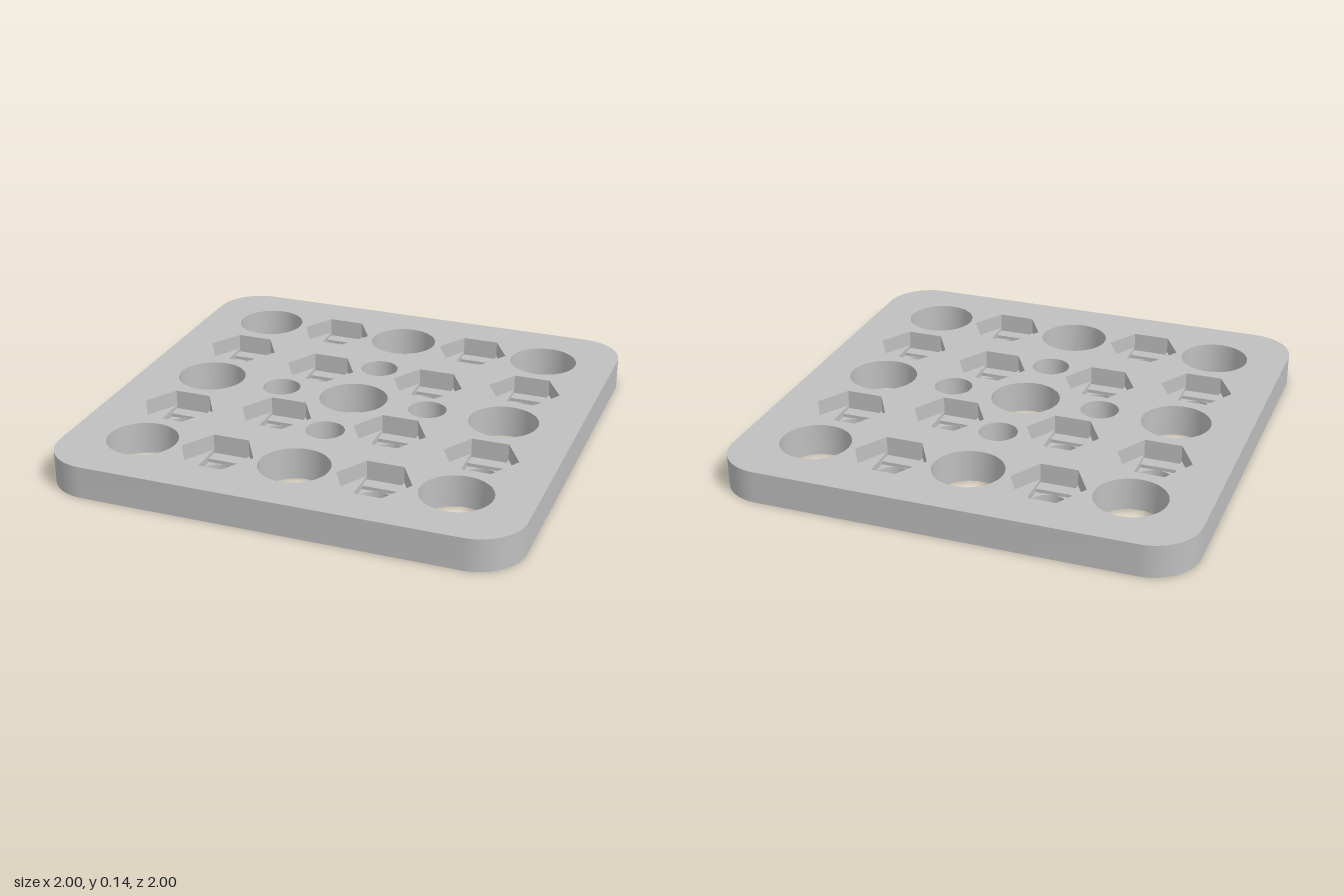
import * as THREE from 'three';
import { mergeGeometries, toCreasedNormals } from 'three/addons/utils/BufferGeometryUtils.js';

const HEIGHT = 0.14, CORNER = 0.2;
const HEX_Y = 0.07, SLOT_Y = 0.055, SQUARE_Y = 0.04; // floors of the stepped nut pocket
const HEX_R = 0.16, SLOT = HEX_R / 2, FLAT = HEX_R * Math.sqrt(3) / 2;
const BOLT_R = 0.0797;

// All outlines are counter-clockwise in plan; plan z is height until the final rotation.
function ring(cx, cy, r, n) {
  return Array.from({ length: n }, (_, i) => {
    const a = (i / n) * Math.PI * 2;
    return new THREE.Vector2(cx + r * Math.cos(a), cy + r * Math.sin(a));
  });
}

function rect(cx, cy, hx, hy) {
  return [[-1, -1], [1, -1], [1, 1], [-1, 1]].map(([x, y]) => new THREE.Vector2(cx + x * hx, cy + y * hy));
}

function plateOutline() {
  const pts = [], c = 1 - CORNER, n = 16;
  [[c, c], [-c, c], [-c, -c], [c, -c]].forEach(([x, y], k) => {
    for (let i = 0; i <= n; i++) {
      const a = (k + i / n) * Math.PI / 2;
      pts.push(new THREE.Vector2(x + CORNER * Math.cos(a), y + CORNER * Math.sin(a)));
    }
  });
  return pts;
}

// Flat face at a height, facing up, or down when flipped
function face(points, height, holes = [], down = false) {
  const shape = new THREE.Shape(points);
  shape.holes = holes.map((h) => new THREE.Path(h));
  const g = new THREE.ShapeGeometry(shape);
  if (down) g.rotateX(Math.PI);
  g.translate(0, 0, height);
  g.deleteAttribute('uv');
  return g.toNonIndexed();
}

// Upright wall along a closed outline; inward walls line a hole
function wall(points, low, high, inward = true) {
  const pts = inward ? [...points].reverse() : points;
  const pos = [];
  pts.forEach((a, i) => {
    const b = pts[(i + 1) % pts.length];
    pos.push(a.x, a.y, low, b.x, b.y, low, b.x, b.y, high);
    pos.push(a.x, a.y, low, b.x, b.y, high, a.x, a.y, high);
  });
  const g = new THREE.BufferGeometry();
  g.setAttribute('position', new THREE.Float32BufferAttribute(pos, 3));
  return toCreasedNormals(g, Math.PI / 6);
}

// Mirror a position into all four quadrants
const quad = (x, y) => [[x, y], [-x, y], [x, -y], [-x, -y]];

export function createModel() {
  const model = new THREE.Group();
  model.name = 'mountingPlate';
  const grey = new THREE.MeshStandardMaterial({ color: 0xbfbfbf });
  grey.name = 'plain grey';

  function add(name, parts) {
    const g = mergeGeometries(parts);
    g.rotateX(-Math.PI / 2);
    const mesh = new THREE.Mesh(g, grey);
    mesh.name = name;
    model.add(mesh);
  }

  // Hole layout
  const large = [];
  for (const x of [-0.68, 0, 0.68]) for (const y of [-0.68, 0, 0.68]) large.push(ring(x, y, 0.15, 64));
  const small = [[0.34, 0], [-0.34, 0], [0, 0.34], [0, -0.34]].map(([x, y]) => ring(x, y, 0.083, 48));
  const nuts = [...quad(0.34, 0.68), ...quad(0.68, 0.34), ...quad(0.257, 0.257)];
  const through = [...large, ...small];

  // Plate faces and rounded rim
  const outline = plateOutline();
  const hexes = nuts.map(([x, y]) => ring(x, y, HEX_R, 6));
  const bolts = nuts.map(([x, y]) => ring(x, y, BOLT_R, 48));
  add('plateTop', [face(outline, HEIGHT, [...through, ...hexes])]);
  add('plateBottom', [face(outline, 0, [...through, ...bolts], true)]);
  add('plateRim', [wall(outline, 0, HEIGHT, false)]);

  // Plain through holes
  add('largeHoles', large.map((h) => wall(h, 0, HEIGHT)));
  add('smallHoles', small.map((h) => wall(h, 0, HEIGHT)));

  // Nut pockets: hexagon, then slot, then square, then round bolt hole
  nuts.forEach(([x, y], i) => {
    const square = rect(x, y, SLOT, SLOT);
    const parts = [
      wall(hexes[i], HEX_Y, HEIGHT),
      wall(rect(x, y, SLOT, FLAT), SLOT_Y, HEX_Y),
      wall(square, SQUARE_Y, SLOT_Y),
      wall(bolts[i], 0, SQUARE_Y),
      face(square, SQUARE_Y, [bolts[i]]),
    ];
    for (const s of [-1, 1]) {
      // Triangular ledges beside the slot, and the slot floor at each end
      const ledge = [[s * SLOT, -FLAT], [s * HEX_R, 0], [s * SLOT, FLAT]];
      parts.push(face(ledge.map(([px, py]) => new THREE.Vector2(x + px, y + py)), HEX_Y));
      parts.push(face(rect(x, y + s * (SLOT + FLAT) / 2, SLOT, (FLAT - SLOT) / 2), SLOT_Y));
    }
    add('nutPocket' + (i + 1), parts);
  });

  return model;
}
